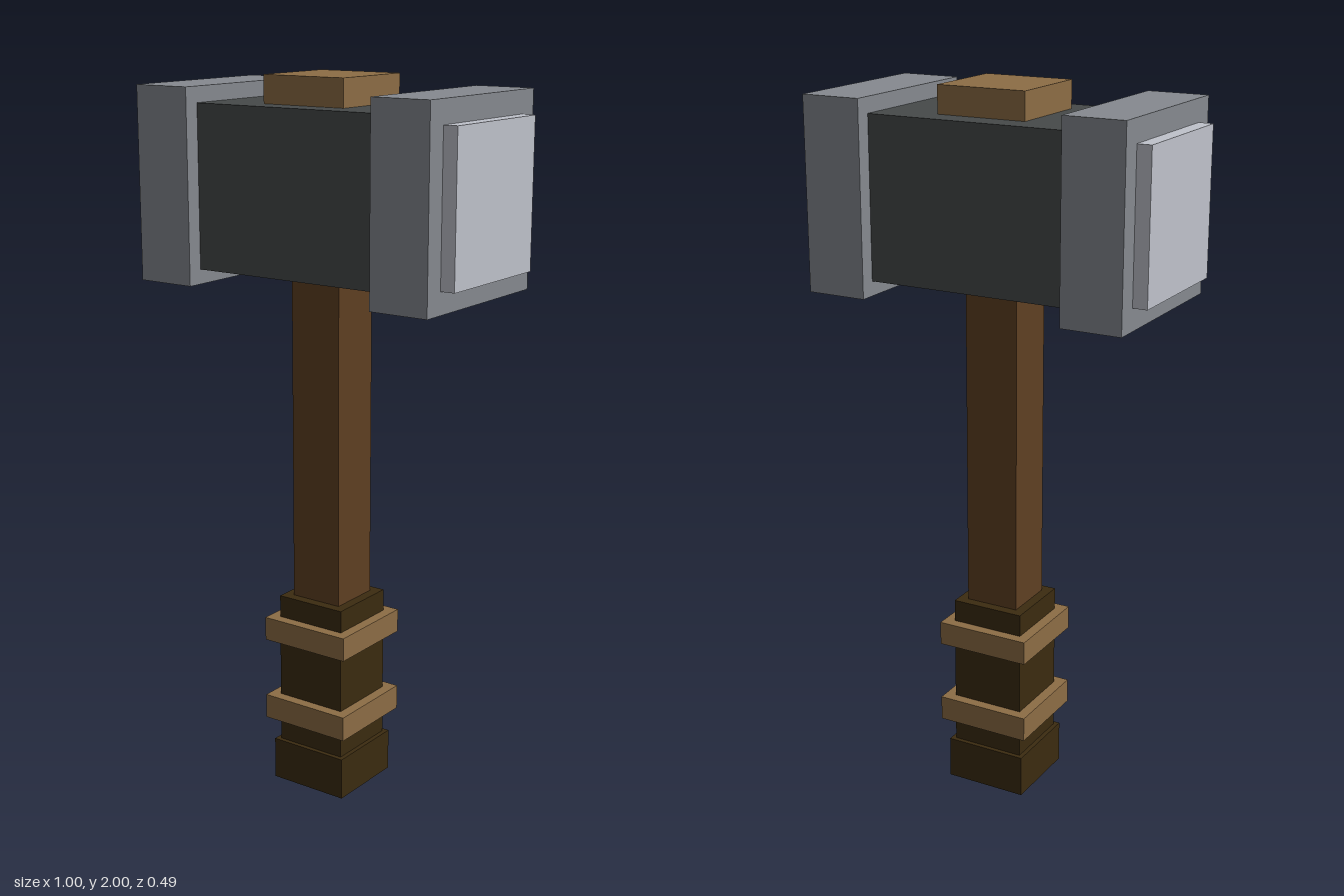
import * as THREE from 'three';

const mat = (name, color) => {
  const m = new THREE.MeshStandardMaterial({ color });
  m.name = name;
  return m;
};

export function createModel() {
  const group = new THREE.Group();
  const darkIron = mat('dark iron', 0x464a4a);
  const steel = mat('steel', 0x868a90);
  const paleSteel = mat('pale steel', 0xc0c3cc);
  const wood = mat('wood', 0x5f4022);
  const leather = mat('dark leather', 0x3b2b10);
  const tan = mat('tan', 0x8d6d45);

  // Box centred on z = 0, given by its x and y ranges and its depth
  const block = (name, material, x0, x1, y0, y1, depth) => {
    const mesh = new THREE.Mesh(new THREE.BoxGeometry(x1 - x0, y1 - y0, depth), material);
    mesh.position.set((x0 + x1) / 2, (y0 + y1) / 2, 0);
    mesh.name = name;
    group.add(mesh);
  };
  // Square block around the handle axis
  const square = (name, material, half, y0, y1) =>
    block(name, material, -half, half, y0, y1, half * 2);

  // Handle
  square('pommel', leather, 0.118, 0, 0.12);
  square('grip', leather, 0.105, 0.12, 0.56);
  square('lowerBand', tan, 0.135, 0.19, 0.26);
  square('upperBand', tan, 0.135, 0.43, 0.497);
  square('shaft', wood, 0.077, 0.56, 1.49);

  // Head
  block('head', darkIron, -0.29, 0.29, 1.485, 1.925, 0.404);
  square('topCap', tan, 0.127, 1.925, 2);

  // Collars and striking faces on both ends
  for (const [side, s] of [['left', 1], ['right', -1]]) {
    const span = (a, b) => (s > 0 ? [a, b] : [-b, -a]);
    block(side + 'Collar', steel, ...span(0.29, 0.46), 1.445, 1.968, 0.492);
    block(side + 'StrikingFace', paleSteel, ...span(0.46, 0.5), 1.505, 1.906, 0.374);
  }
  return group;
}
